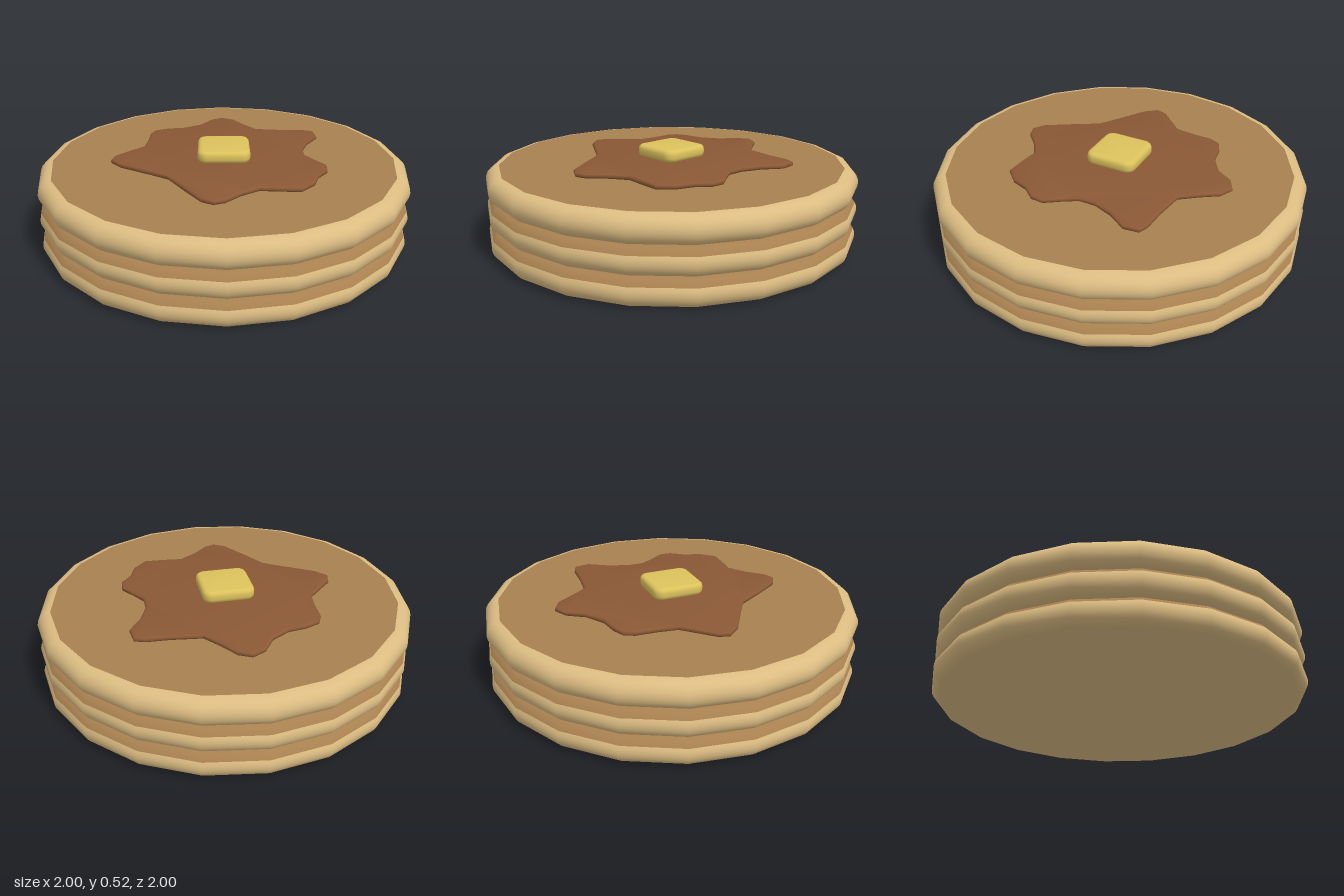
import * as THREE from 'three';
import { toCreasedNormals } from 'three/addons/utils/BufferGeometryUtils.js';

const material = (color) => new THREE.MeshStandardMaterial({ color });
const SIDES = 20;
const THICK = 0.145;

function addMesh(parent, name, geometry, mat) {
  const mesh = new THREE.Mesh(geometry, mat);
  mesh.name = name;
  parent.add(mesh);
  return mesh;
}

// Surface of revolution along part of the rounded rim, angles in degrees
function rimGeometry(from, to, steps) {
  const r = THICK / 2;
  const points = [];
  for (let i = 0; i <= steps; i++) {
    const a = THREE.MathUtils.degToRad(from + ((to - from) * i) / steps);
    points.push(new THREE.Vector2(1 - r + r * Math.cos(a), r + r * Math.sin(a)));
  }
  return new THREE.LatheGeometry(points, SIDES);
}

// Horizontal slab with softened edges, standing on y = 0
function softSlab(shape, height, bevel, curveSegments) {
  const geometry = new THREE.ExtrudeGeometry(shape, {
    depth: height - 2 * bevel,
    bevelThickness: bevel,
    bevelSize: bevel,
    bevelOffset: -bevel,
    bevelSegments: 3,
    curveSegments,
  });
  geometry.translate(0, 0, bevel);
  geometry.rotateX(-Math.PI / 2);
  return toCreasedNormals(geometry, 0.75);
}

function roundedSquare(half, r) {
  const s = new THREE.Shape();
  const c = half - r;
  s.absarc(c, c, r, 0, Math.PI / 2);
  s.absarc(-c, c, r, Math.PI / 2, Math.PI);
  s.absarc(-c, -c, r, Math.PI, Math.PI * 1.5);
  s.absarc(c, -c, r, Math.PI * 1.5, Math.PI * 2);
  return s;
}

export function createModel() {
  const model = new THREE.Group();
  model.name = 'pancakeStack';
  const batter = material(0xdcbc82);
  const browned = material(0xa88050);

  // Three stacked pancakes; browning reaches over the rim of the lower two
  for (let i = 0; i < 3; i++) {
    const pancake = new THREE.Group();
    pancake.name = 'pancake' + (i + 1);
    pancake.position.y = i * THICK;
    const split = i === 2 ? 90 : 30;
    addMesh(pancake, 'rim', rimGeometry(-90, split, 10), batter);
    if (split < 90) addMesh(pancake, 'brownedEdge', rimGeometry(split, 90, 5), browned);

    const disc = new THREE.CircleGeometry(1 - THICK / 2, SIDES);
    const top = addMesh(pancake, 'brownedTop', disc, browned);
    top.rotation.x = -Math.PI / 2;
    top.position.y = THICK;
    const bottom = addMesh(pancake, 'underside', disc, batter);
    bottom.rotation.x = Math.PI / 2;
    model.add(pancake);
  }

  // Syrup puddle outline, as x and z pairs
  const outline = [
    [0, -0.645], [0.07, -0.61], [0.13, -0.52], [0.2, -0.43], [0.36, -0.41], [0.48, -0.405],
    [0.535, -0.385], [0.545, -0.3], [0.48, -0.2], [0.44, -0.09], [0.44, 0], [0.49, 0.08],
    [0.54, 0.15], [0.535, 0.22], [0.48, 0.29], [0.45, 0.38], [0.38, 0.455], [0.27, 0.45],
    [0.17, 0.44], [0.08, 0.5], [0, 0.58], [-0.06, 0.6], [-0.12, 0.565], [-0.2, 0.44],
    [-0.29, 0.29], [-0.38, 0.23], [-0.55, 0.125], [-0.605, 0.06], [-0.59, 0], [-0.5, -0.09],
    [-0.445, -0.145], [-0.43, -0.25], [-0.425, -0.36], [-0.4, -0.415], [-0.33, -0.445],
    [-0.23, -0.46], [-0.13, -0.52], [-0.07, -0.61],
  ];
  const puddle = new THREE.Shape(outline.map(([x, z]) => new THREE.Vector2(x, -z)));
  const syrup = addMesh(model, 'syrup', softSlab(puddle, 0.027, 0.012, 4), material(0x8a5835));
  syrup.position.y = 3 * THICK;

  // Butter pat
  const pat = softSlab(roundedSquare(0.14, 0.05), 0.065, 0.022, 4);
  const butter = addMesh(model, 'butter', pat, material(0xdcc25c));
  butter.position.y = 0.46;

  return model;
}
